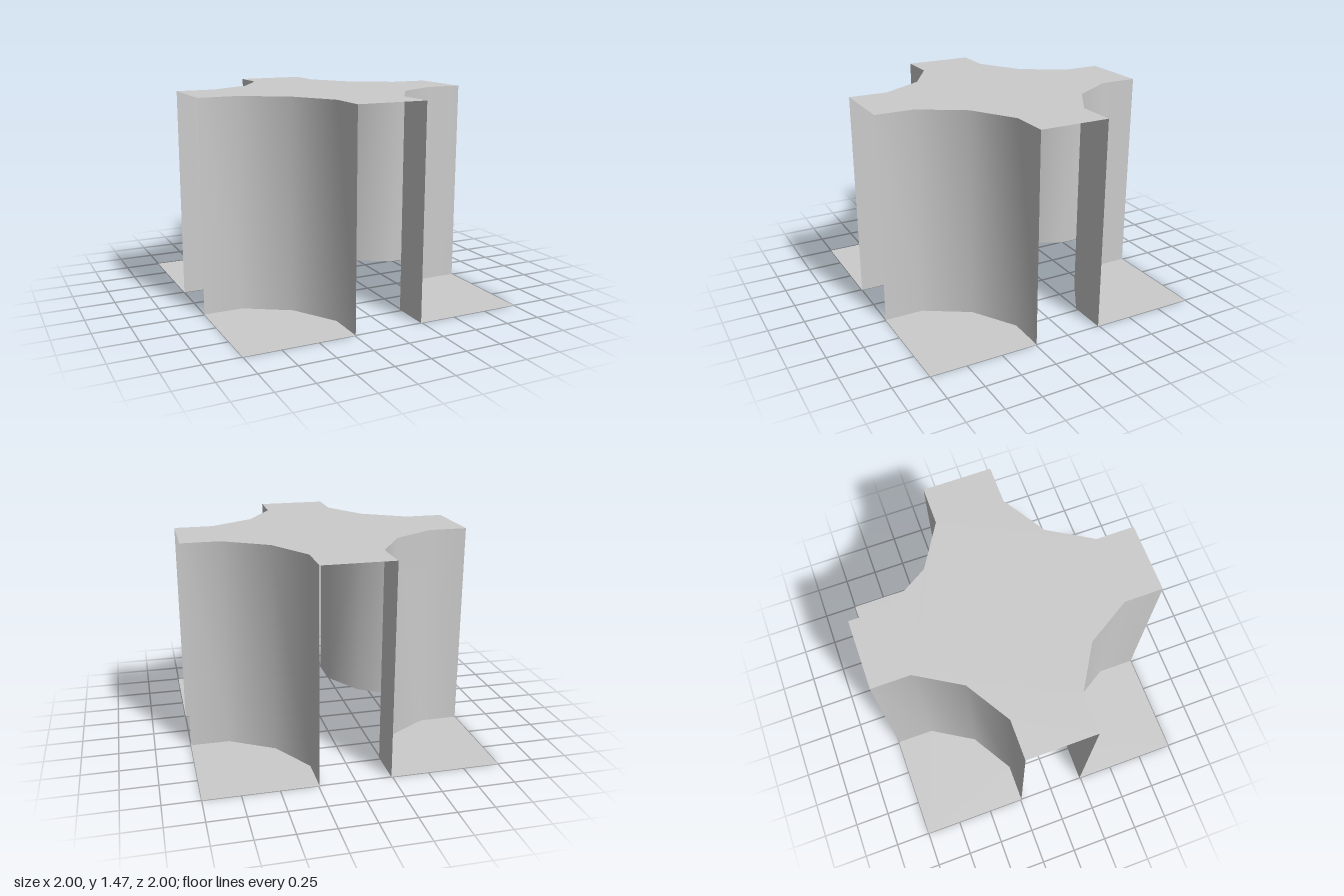
import * as THREE from 'three';

const HEIGHT = 1.465;

// Curved edge of one corner, from the +x side round to the +y side of the plan
const EDGE = [[1, 0.243], [0.73, 0.243], [0.427, 0.427], [0.243, 0.73], [0.243, 1]];

const material = new THREE.MeshStandardMaterial({ color: 0xcccccc, side: THREE.DoubleSide });

// Flat horizontal sheet from plan points, facing up
function sheet(points) {
  const shape = new THREE.Shape(points.map(([x, y]) => new THREE.Vector2(x, y)));
  return new THREE.ShapeGeometry(shape).rotateX(-Math.PI / 2);
}

// Vertical wall swept up from the curved edge, smooth along its length
function wall() {
  const positions = [];
  const index = [];
  EDGE.forEach(([x, y], i) => {
    positions.push(x, 0, -y, x, HEIGHT, -y);
    if (i < EDGE.length - 1) {
      const a = i * 2;
      index.push(a, a + 2, a + 1, a + 2, a + 3, a + 1);
    }
  });
  const geometry = new THREE.BufferGeometry();
  geometry.setAttribute('position', new THREE.Float32BufferAttribute(positions, 3));
  geometry.setIndex(index);
  geometry.computeVertexNormals();
  return geometry;
}

function part(name, geometry) {
  const mesh = new THREE.Mesh(geometry, material);
  mesh.name = name;
  return mesh;
}

export function createModel() {
  const model = new THREE.Group();
  model.name = 'crossroadsPlateau';

  // Cross-shaped top: the edge repeated at every quarter turn
  const outline = [];
  for (let q = 0; q < 4; q++) {
    const c = [1, 0, -1, 0][q];
    const s = [0, 1, 0, -1][q];
    EDGE.forEach(([x, y]) => outline.push([x * c - y * s, x * s + y * c]));
  }
  const top = part('crossTop', sheet(outline));
  top.position.y = HEIGHT;
  model.add(top);

  // Four corners, each a curved wall and a ground sheet; the arm ends stay open
  const wallGeometry = wall();
  const floorGeometry = sheet([...EDGE, [1, 1]]);
  for (let q = 0; q < 4; q++) {
    const corner = new THREE.Group();
    corner.name = 'corner' + (q + 1);
    corner.add(part('curvedWall', wallGeometry), part('cornerGround', floorGeometry));
    corner.rotation.y = q * Math.PI / 2;
    model.add(corner);
  }
  return model;
}
